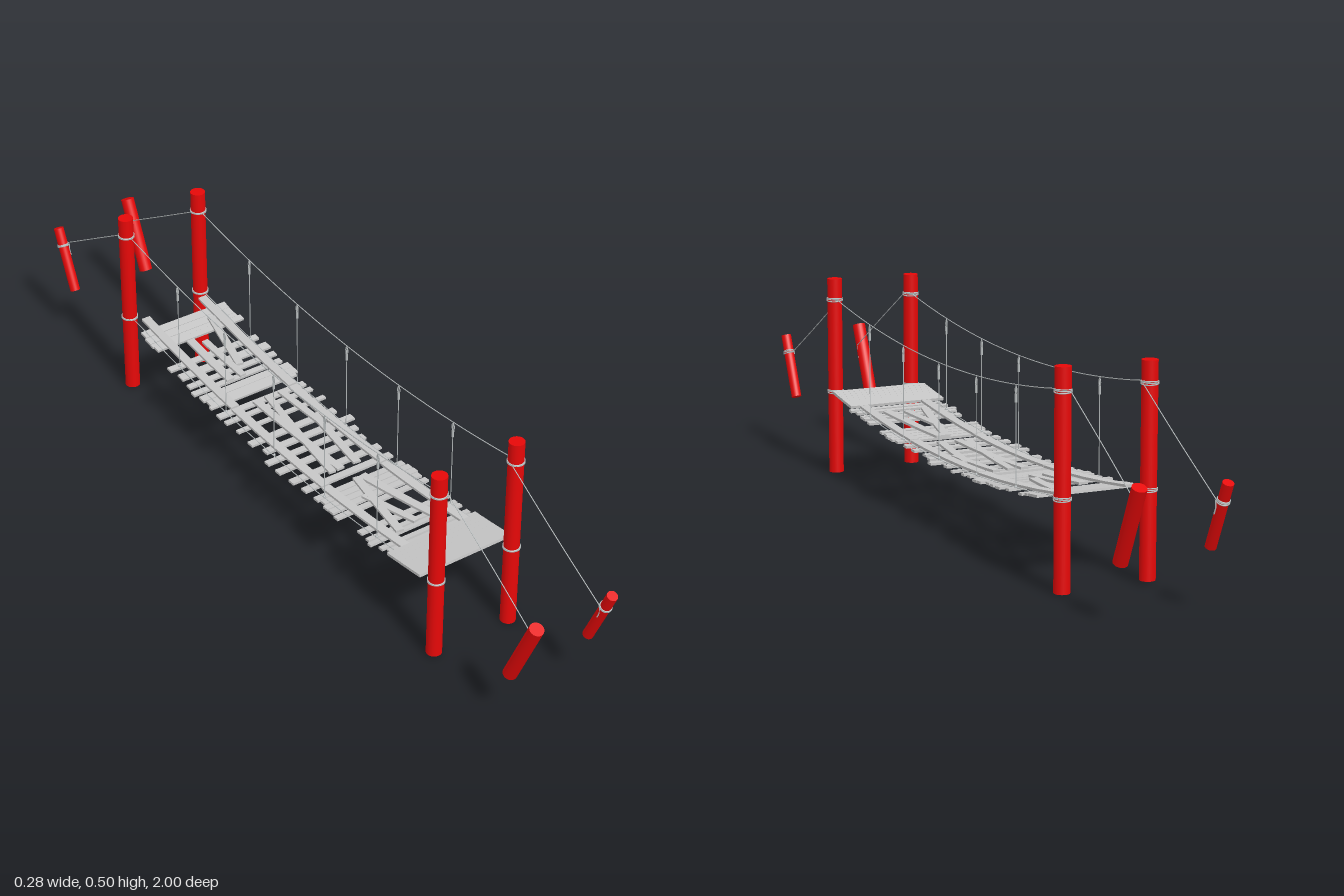
import * as THREE from 'three';

const red = new THREE.MeshStandardMaterial({ color: 0xe60808 });
red.name = 'red paint';
const wood = new THREE.MeshStandardMaterial({ color: 0xc6c6c6 });
wood.name = 'grey wood';
const rope = new THREE.MeshStandardMaterial({ color: 0xb8bdbe });
rope.name = 'grey rope';

const V = (x, y, z) => new THREE.Vector3(x, y, z);
const deckY = z => 0.161 + 0.046 * (z / 0.61) ** 2;
const railY = z => 0.395 + 0.055 * (z / 0.64) ** 2;

let seed = 7;
const rand = () => (seed = (seed * 16807) % 2147483647) / 2147483647;

function add(parent, name, geometry, material) {
  const mesh = new THREE.Mesh(geometry, material);
  mesh.name = name;
  parent.add(mesh);
  return mesh;
}

function ropeAlong(parent, name, points, radius = 0.0011) {
  const curve = new THREE.CatmullRomCurve3(points);
  return add(parent, name, new THREE.TubeGeometry(curve, points.length * 3, radius, 8), rope);
}

// Coils of rope round a pole, at height y of the pole's own frame
function wrap(pole, y, radius) {
  for (let i = -1; i <= 1; i++) {
    const coil = add(pole, 'ropeCoil', new THREE.TorusGeometry(radius + 0.0008, 0.0015, 8, 32), rope);
    coil.position.y = y + i * 0.0026;
    coil.rotation.set(Math.PI / 2 + 0.06 * i, 0.05 * (i || 1), 0);
  }
}

// Board laid lengthwise on the sagging deck between two points, cut in short bends
function lengthBoard(parent, name, x0, z0, x1, z1, width, lift) {
  const length = Math.hypot(x1 - x0, z1 - z0);
  const g = new THREE.BoxGeometry(width, 0.006, length, 1, 1, 4);
  g.rotateY(Math.atan2(x1 - x0, z1 - z0));
  g.translate((x0 + x1) / 2, 0, (z0 + z1) / 2);
  const p = g.attributes.position;
  for (let i = 0; i < p.count; i++) p.setY(i, p.getY(i) + deckY(p.getZ(i)) + lift);
  add(parent, name, g, wood);
}

function crossPlank(parent, z, depth, shift = 0) {
  const width = 0.246 + rand() * 0.016;
  const plank = add(parent, 'crossPlank', new THREE.BoxGeometry(width, 0.006, depth), wood);
  plank.position.set(shift + (rand() - 0.5) * 0.014, deckY(z), z);
  plank.rotation.x = -Math.atan(0.092 * z / 0.61 ** 2);
  plank.rotation.y = (rand() - 0.5) * 0.02;
}

export function createModel() {
  const model = new THREE.Group();
  model.name = 'ropeBridge';

  // Four upright posts with rope coils
  for (const x of [-0.106, 0.104]) for (const z of [-0.64, 0.637]) {
    const post = new THREE.Group();
    post.name = 'post';
    post.position.set(x, 0, z);
    const height = x < 0 ? 0.492 : 0.5;
    const base = x < 0 ? 0.005 : 0;
    add(post, 'postPole', new THREE.CylinderGeometry(0.0185, 0.0185, height, 28), red).position.y = base + height / 2;
    wrap(post, 0.447, 0.0185);
    wrap(post, 0.21, 0.0185);
    model.add(post);
  }

  // Slanted anchor stakes and their guy ropes; only the slim pair is wrapped
  for (const sx of [-1, 1]) for (const sz of [-1, 1]) {
    const big = sx * sz < 0;
    const r = big ? 0.0168 : 0.0128;
    const x = sx < 0 ? -0.107 : 0.104;
    const stake = new THREE.Group();
    stake.name = 'anchorStake';
    stake.position.set(x, 0.22, sz * 0.945);
    stake.rotation.x = sz * 0.42;
    add(stake, 'stakePole', new THREE.CylinderGeometry(r, r, big ? 0.194 : 0.168, 24), red);
    if (!big) wrap(stake, 0.038, r);
    model.add(stake);
    ropeAlong(model, 'guyRope', [V(sx * 0.088, 0.45, sz * 0.635), V(sx * 0.088, 0.352, sz * 0.8), V(sx * 0.091, 0.257, sz * 0.96)]);
    const tail = [V(sx * 0.091, 0.257, sz * 0.955), V(sx * 0.092, 0.24, sz * 0.955), V(sx * 0.091, 0.225, sz * 0.95)];
    ropeAlong(model, 'ropeTail', tail, 0.0015);
  }

  // Handrail ropes, deck ropes and hangers on each side
  for (const side of [-1, 1]) {
    const rail = [], deck = [];
    for (let i = -8; i <= 8; i++) {
      const z = i * 0.08;
      rail.push(V(side * 0.104, railY(z), z));
      deck.push(V(side * 0.106, Math.min(deckY(z) + 0.003, 0.212), z));
    }
    ropeAlong(model, 'handrailRope', rail);
    ropeAlong(model, 'deckRope', deck);
    for (let i = -2; i <= 2; i++) {
      const z = i * 0.206, x = side * 0.104, top = railY(z);
      ropeAlong(model, 'hangerRope', [V(x, top, z), V(x, (top + deckY(z)) / 2, z), V(x, deckY(z) - 0.004, z)]);
      const knot = add(model, 'hangerKnot', new THREE.CylinderGeometry(0.003, 0.003, 0.02, 10), rope);
      knot.position.set(x, top - 0.03, z);
      const loop = add(model, 'hangerLoop', new THREE.TorusGeometry(0.0045, 0.0012, 8, 16), rope);
      loop.position.set(x, top - 0.013, z);
      loop.scale.y = 1.8;
      loop.rotation.y = Math.PI / 2;
      const end = add(model, 'deckKnot', new THREE.SphereGeometry(0.0035, 10, 8), rope);
      end.position.set(x, deckY(z) + 0.004, z);
    }
  }

  // Cross planks: z, depth and, for a few, a sideways shift
  const planks = [
    [-0.557, 0.024], [-0.532, 0.024], [-0.513, 0.012], [-0.498, 0.018, 0.006], [-0.415, 0.018], [-0.375, 0.024],
    [-0.337, 0.016], [-0.307, 0.016], [-0.279, 0.022], [-0.256, 0.022], [-0.24, 0.01], [-0.2, 0.018],
    [-0.172, 0.014], [-0.128, 0.012], [-0.07, 0.02], [-0.025, 0.02, 0.014], [0.016, 0.018], [0.058, 0.02, -0.012],
    [0.11, 0.02], [0.155, 0.02], [0.201, 0.018], [0.222, 0.018], [0.243, 0.018], [0.264, 0.018],
    [0.29, 0.016], [0.373, 0.018], [0.407, 0.014], [0.425, 0.012], [0.456, 0.014], [0.477, 0.014],
  ];
  for (const plank of planks) crossPlank(model, ...plank);

  // Solid landing at the front end
  for (let i = 0; i < 8; i++) {
    const z = 0.4945 + i * 0.0152;
    const plank = add(model, 'landingPlank', new THREE.BoxGeometry(0.254, 0.007, 0.0152), wood);
    plank.position.set(-0.003, deckY(z) + 0.006, z);
    plank.rotation.x = -0.13;
  }

  // Two lengthwise runner boards in three lengths each
  for (const x of [-0.081, 0.087])
    for (const [z0, z1] of [[-0.605, -0.205], [-0.2, 0.175], [0.18, 0.487]])
      lengthBoard(model, 'runnerBoard', x, z0, x + 0.002, z1, 0.023, 0.006);

  // Loose boards between the runners: x0, z0, x1, z1, width
  const loose = [
    [-0.03, -0.48, -0.028, -0.3, 0.022], [0.065, -0.53, 0.025, -0.34, 0.02], [0.0, -0.46, 0.008, -0.3, 0.018],
    [-0.022, -0.2, -0.01, 0.14, 0.02], [0.012, -0.2, -0.034, 0.14, 0.018], [0.05, -0.2, 0.064, 0.0, 0.018],
    [0.066, -0.08, 0.036, 0.14, 0.02], [-0.002, 0.19, -0.052, 0.43, 0.02], [0.014, 0.19, 0.05, 0.43, 0.022],
    [-0.03, 0.26, 0.002, 0.42, 0.018],
  ];
  for (const b of loose) lengthBoard(model, 'looseBoard', ...b, 0.006);

  return model;
}
